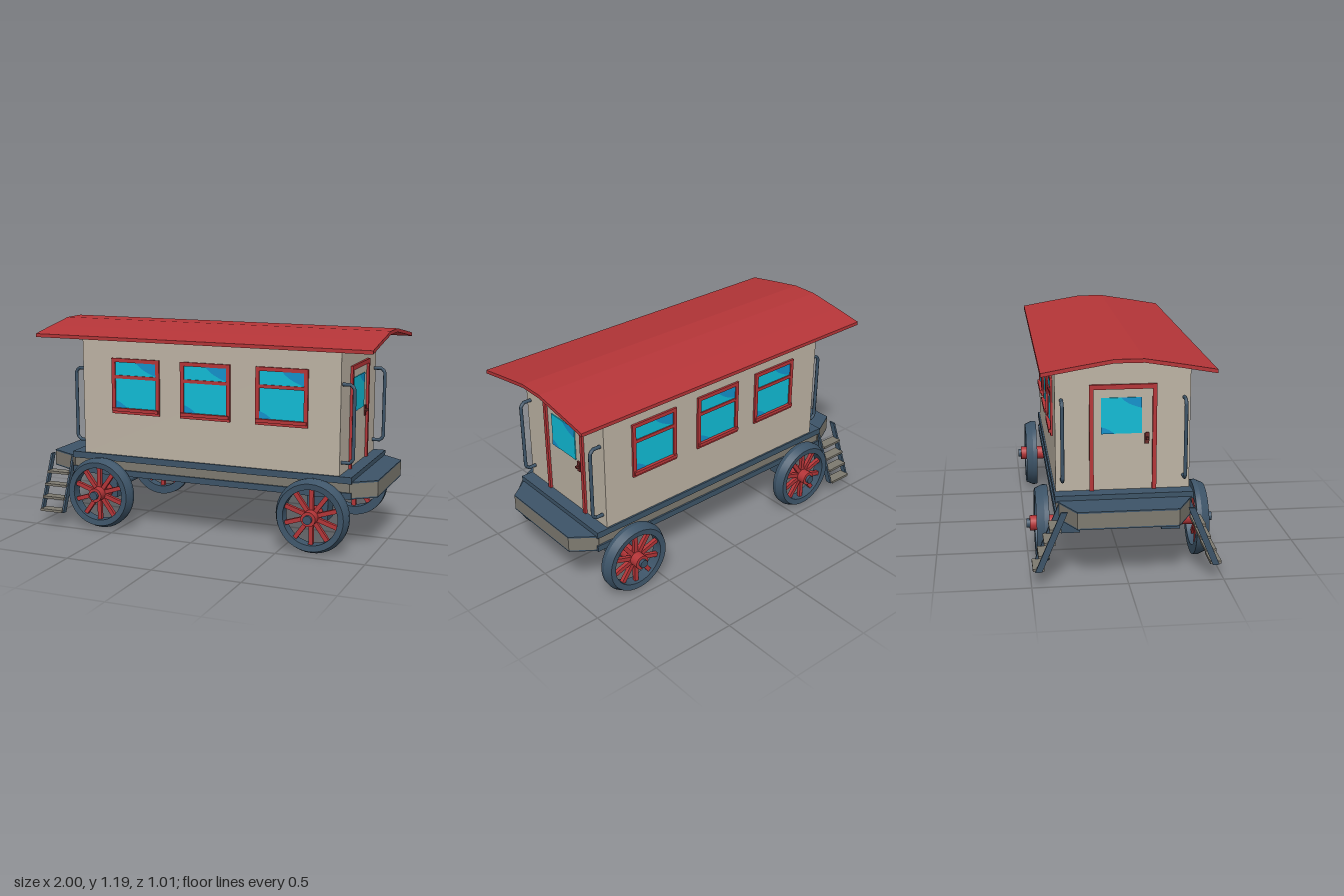
import * as THREE from 'three';
import { toCreasedNormals } from 'three/addons/utils/BufferGeometryUtils.js';

const mat = (name, color) => Object.assign(new THREE.MeshStandardMaterial({ color }), { name });

export function createModel() {
  const red = mat('red paint', 0xb53538);
  const slate = mat('slate metal', 0x3d5468);
  const cream = mat('cream wall', 0xbdb3a4);
  const wood = mat('grey wood', 0x7e7a70);
  const glass = mat('cyan glass', 0x10bcd6);
  const shine = mat('blue glass', 0x1292cc);
  const brown = mat('brown handle', 0x6a2a28);

  const model = new THREE.Group();
  model.name = 'wagon';

  const add = (parent, name, geo, material, x = 0, y = 0, z = 0) => {
    const m = new THREE.Mesh(geo, material);
    m.name = name;
    m.position.set(x, y, z);
    parent.add(m);
    return m;
  };
  const group = (parent, name) => {
    const g = new THREE.Group();
    g.name = name;
    parent.add(g);
    return g;
  };
  // box given by its extents
  const box = (parent, name, material, x0, x1, y0, y1, z0, z1) =>
    add(parent, name, new THREE.BoxGeometry(x1 - x0, y1 - y0, z1 - z0), material,
      (x0 + x1) / 2, (y0 + y1) / 2, (z0 + z1) / 2);
  const shapeOf = pts => new THREE.Shape(pts.map(p => new THREE.Vector2(...p)));
  const extrude = (pts, depth) =>
    new THREE.ExtrudeGeometry(shapeOf(pts), { depth, bevelEnabled: false });

  // Roof: bent sheet running along x
  const top = [[0.44, 1.128], [0.27, 1.158], [0.075, 1.19], [-0.075, 1.19], [-0.27, 1.158], [-0.44, 1.128]];
  const under = top.map(([z, y]) => [z, y - 0.02]).reverse();
  add(model, 'roof', extrude([...top, ...under], 2).rotateY(Math.PI / 2), red, -1);

  // Body: walls rise to the underside of the roof
  const gable = [[-0.355, 0.43], [0.355, 0.43], [0.355, 1.125], [0.27, 1.14],
    [0.075, 1.173], [-0.075, 1.173], [-0.27, 1.14], [-0.355, 1.125]];
  add(model, 'body', extrude(gable, 1.55).rotateY(Math.PI / 2), cream, -0.74);

  // Chassis: two rails with a recessed wooden band
  box(model, 'upperChassis', slate, -0.82, 0.88, 0.395, 0.432, -0.365, 0.365);
  box(model, 'chassisBand', wood, -0.815, 0.875, 0.345, 0.395, -0.355, 0.355);
  box(model, 'lowerChassis', slate, -0.82, 0.88, 0.31, 0.345, -0.365, 0.365);

  // Tapered end platforms
  for (const [x0, x1] of [[0.87, 1], [-0.81, -1]]) {
    const plan = [[x0, -0.36], [x1, -0.262], [x1, 0.262], [x0, 0.36]];
    const layer = (name, material, y, h) =>
      add(model, name, extrude(plan, h).rotateX(Math.PI / 2), material, 0, y);
    layer('platformDeck', slate, 0.405, 0.008);
    layer('platformEdge', wood, 0.397, 0.079);
    layer('platformBase', slate, 0.318, 0.008);
  }

  // Pane with two curved darker corners, facing +z
  const pane = (parent, w, h, x, y, z) => {
    const g = group(parent, 'pane');
    g.position.set(x, y, z);
    add(g, 'glass', new THREE.BoxGeometry(w, h, 0.006), glass);
    const upper = new THREE.Shape();
    upper.moveTo(w / 2, h / 2);
    upper.lineTo(-0.01 * w, h / 2);
    upper.quadraticCurveTo(0.15 * w, 0.3 * h, w / 2, 0.21 * h);
    const lower = new THREE.Shape();
    lower.moveTo(-w / 2, -h / 2);
    lower.lineTo(-0.18 * w, -h / 2);
    lower.quadraticCurveTo(-0.3 * w, -0.36 * h, -w / 2, -0.31 * h);
    add(g, 'upperShine', new THREE.ShapeGeometry(upper), shine, 0, 0, 0.005);
    add(g, 'lowerShine', new THREE.ShapeGeometry(lower), shine, 0, 0, 0.005);
  };

  // Window: frame, crossbar and sill, centred on x and facing +z
  const sideWindow = (parent, x) => {
    const g = group(parent, 'window');
    g.position.x = x;
    pane(g, 0.27, 0.28, 0, 0.845, 0.356);
    for (const s of [-1, 1]) box(g, 'frameSide', red, s * 0.139 - 0.011, s * 0.139 + 0.011, 0.68, 1, 0.35, 0.367);
    box(g, 'frameTop', red, -0.15, 0.15, 0.978, 1, 0.35, 0.367);
    box(g, 'frameBottom', red, -0.15, 0.15, 0.68, 0.712, 0.35, 0.367);
    box(g, 'crossbar', red, -0.13, 0.13, 0.884, 0.903, 0.35, 0.366);
    box(g, 'sill', red, -0.145, 0.145, 0.695, 0.714, 0.35, 0.377);
  };
  for (const s of [1, -1]) {
    const side = group(model, s > 0 ? 'frontWindows' : 'backWindows');
    if (s < 0) side.rotation.y = Math.PI;
    for (const x of [-0.4, 0.03, 0.48]) sideWindow(side, x * s);
  }

  // End wall: door and handrails, built facing +z then turned to each end
  const rail = new THREE.CurvePath();
  const railPoints = [[0, 0.5], [0.045, 0.5], [0.065, 0.52], [0.065, 0.905], [0.045, 0.925], [0, 0.925]]
    .map(([z, y]) => new THREE.Vector3(0, y, z));
  for (let i = 1; i < railPoints.length; i++) rail.add(new THREE.LineCurve3(railPoints[i - 1], railPoints[i]));
  const railGeo = new THREE.TubeGeometry(rail, 48, 0.01, 8);
  for (const s of [1, -1]) {
    const end = group(model, s > 0 ? 'leftEnd' : 'rightEnd');
    end.position.x = s > 0 ? 0.81 : -0.74;
    end.rotation.y = s * Math.PI / 2;
    for (const k of [-1, 1]) {
      box(end, 'doorPost', red, k * 0.166 - 0.011, k * 0.166 + 0.011, 0.43, 1, -0.005, 0.014);
      add(end, 'handrail', railGeo, slate, k * 0.322);
    }
    box(end, 'doorLintel', red, -0.177, 0.177, 0.978, 1.003, -0.005, 0.014);
    pane(end, 0.213, 0.193, -0.008, 0.835, 0.002);
    box(end, 'doorHandle', brown, 0.115, 0.138, 0.68, 0.74, -0.002, 0.008);
    box(end, 'doorKnob', brown, 0.12, 0.133, 0.705, 0.718, 0, 0.025);
  }

  // Wheel geometry, with the axle along z and the outer face at +z
  const rimProfile = [[0.155, -0.034], [0.205, -0.034], [0.207, -0.008], [0.188, 0.034], [0.155, 0.03], [0.155, -0.034]]
    .map(p => new THREE.Vector2(...p));
  const rimGeo = toCreasedNormals(new THREE.LatheGeometry(rimProfile, 40).rotateX(Math.PI / 2), 0.35);
  const rod = (r, len, n = 20) => new THREE.CylinderGeometry(r, r, len, n).rotateX(Math.PI / 2);
  const spokeGeo = new THREE.BoxGeometry(0.024, 0.135, 0.022).translate(0, 0.095, 0);
  const hubGeo = rod(0.041, 0.147), capGeo = rod(0.024, 0.04);
  for (const x of [-0.61, 0.68]) {
    const axle = group(model, 'axleSet');
    axle.position.set(x, 0.212, 0);
    add(axle, 'axle', rod(0.023, 0.8), slate);
    for (const s of [1, -1]) {
      const side = group(axle, 'axleSide');
      if (s < 0) side.rotation.y = Math.PI;
      box(side, 'axleBlock', slate, -0.06, 0.06, -0.044, 0.1, 0.222, 0.325);
      const wheel = group(side, 'wheel');
      wheel.position.z = 0.426;
      add(wheel, 'rim', rimGeo, slate);
      add(wheel, 'hub', hubGeo, red, 0, 0, -0.01);
      add(wheel, 'hubCap', capGeo, slate, 0, 0, 0.061);
      for (let i = 0; i < 10; i++) add(wheel, 'spoke', spokeGeo, red).rotation.z = i * Math.PI / 5;
    }
  }

  // Ladders on both sides of the rear platform
  for (const s of [1, -1]) {
    const ladder = group(model, s > 0 ? 'frontLadder' : 'backLadder');
    const strip = [[0.31, 0.4], [0.345, 0.4], [0.48, 0.08], [0.445, 0.08]].map(([z, y]) => [-z * s, y]);
    for (const x of [-0.983, -0.84])
      add(ladder, 'stringer', extrude(strip, 0.012).rotateY(Math.PI / 2), slate, x);
    for (let i = 0; i < 4; i++) {
      const y = 0.09 + i * 0.07, z = s * (0.462 - i * 0.0296);
      box(ladder, 'tread', wood, -0.975, -0.835, y - 0.007, y + 0.007, z - 0.03, z + 0.03);
    }
  }
  return model;
}
